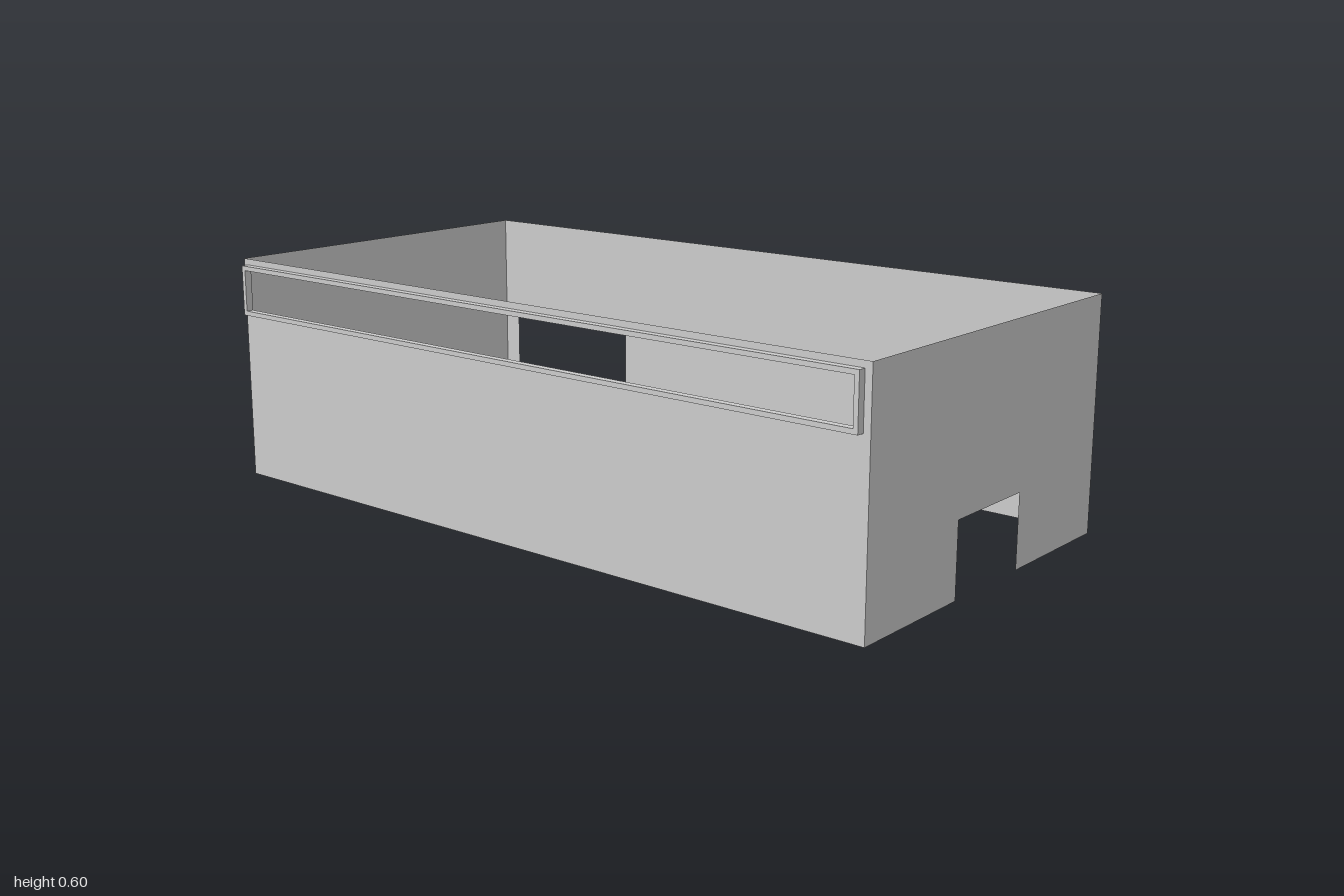
import * as THREE from 'three';

const LEFT = 0.507, RIGHT = -0.487, HEIGHT = 0.6, HALF = 1;
const material = new THREE.MeshStandardMaterial({ color: 0xcccccc, side: THREE.DoubleSide, flatShading: true });

const polygon = (points) => new THREE.Shape(points.map(([x, y]) => new THREE.Vector2(x, y)));
const rect = (x0, y0, x1, y1) => [[x0, y0], [x1, y0], [x1, y1], [x0, y1]];

function addMesh(group, name, geometry, x = 0, z = 0) {
  const mesh = new THREE.Mesh(geometry, material);
  mesh.name = name;
  mesh.position.set(x, 0, z);
  group.add(mesh);
}

// Turns a shape drawn in (-z, y) so that it stands along the z axis
const alongZ = (geometry) => geometry.rotateY(Math.PI / 2);

export function createModel() {
  const group = new THREE.Group();
  group.name = 'walledEnclosure';

  // End walls: the front one has a low doorway, the back one is solid
  const front = polygon([
    [RIGHT, 0], [-0.127, 0], [-0.127, 0.187], [0.144, 0.187], [0.144, 0],
    [LEFT, 0], [LEFT, HEIGHT], [RIGHT, HEIGHT],
  ]);
  addMesh(group, 'frontWall', new THREE.ShapeGeometry(front), 0, HALF);
  addMesh(group, 'backWall', new THREE.ShapeGeometry(polygon(rect(RIGHT, 0, LEFT, HEIGHT))), 0, -HALF);

  // Left wall with a tall doorway near the back
  const left = polygon([
    [-HALF, 0], [0.508, 0], [0.508, 0.315], [0.735, 0.317], [0.735, 0.321],
    [0.948, 0.321], [0.948, 0], [HALF, 0], [HALF, HEIGHT], [-HALF, HEIGHT],
  ]);
  addMesh(group, 'leftWall', alongZ(new THREE.ShapeGeometry(left)), LEFT);

  // Right wall with a long window slot
  const u0 = -0.982, u1 = 0.985, y0 = 0.45, y1 = 0.584, bar = 0.012;
  const opening = rect(u0 + bar, y0 + bar, u1 - bar, y1 - bar);
  const right = polygon(rect(-HALF, 0, HALF, HEIGHT));
  right.holes.push(polygon(opening));
  addMesh(group, 'rightWall', alongZ(new THREE.ShapeGeometry(right)), RIGHT);

  // Window frame standing proud of the right wall
  const frame = polygon(rect(u0, y0, u1, y1));
  frame.holes.push(polygon(opening));
  const frameGeometry = new THREE.ExtrudeGeometry(frame, { depth: 0.02, bevelEnabled: false });
  addMesh(group, 'windowFrame', alongZ(frameGeometry), -0.507);

  return group;
}
